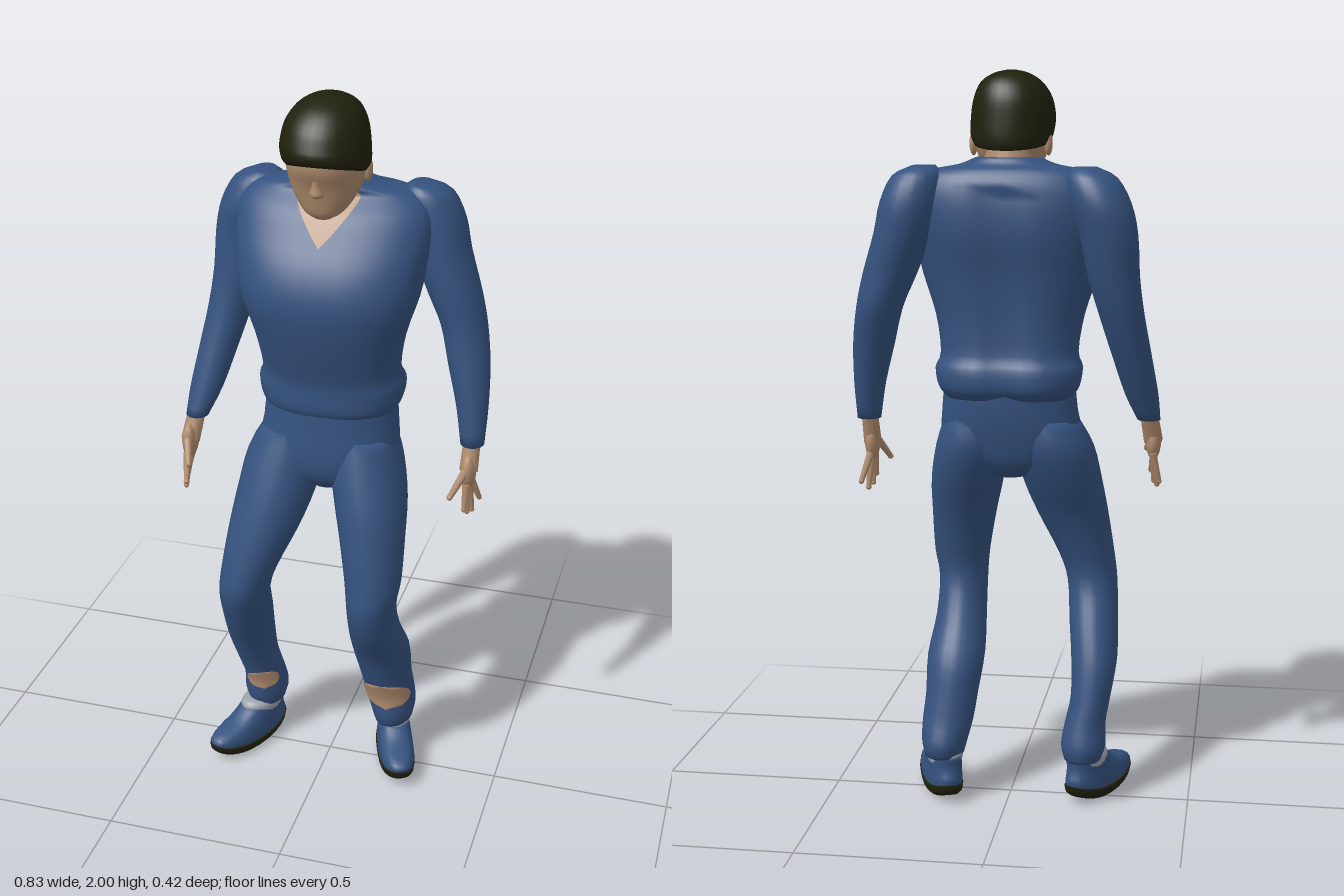
import * as THREE from 'three';

const flat = (name, color, side = THREE.FrontSide) => {
  const m = new THREE.MeshStandardMaterial({ color, side });
  m.name = name;
  return m;
};

// Rings are [x, y, z, halfWidth, halfDepth]; returns a surface sampler (angle 0 = front, t along the rings).
function sampler(list, power = 2) {
  const rings = list[0][1] > list[list.length - 1][1] ? [...list].reverse() : list;
  const mid = new THREE.CatmullRomCurve3(rings.map(r => new THREE.Vector3(r[0], r[1], r[2])), false, 'catmullrom', 0.5);
  const rad = new THREE.CatmullRomCurve3(rings.map(r => new THREE.Vector3(r[3], r[4], 0)), false, 'catmullrom', 0.5);
  const bend = v => Math.sign(v) * Math.pow(Math.abs(v), 2 / power);
  return {
    count: rings.length,
    at(a, t, off = 0) {
      const c = mid.getPoint(t), r = rad.getPoint(t);
      return new THREE.Vector3(c.x + (r.x + off) * bend(Math.sin(a)), c.y, c.z + (r.y + off) * bend(Math.cos(a)));
    },
    centre: t => mid.getPoint(t),
  };
}

function surface(points, cols, rows, wrap, caps = []) {
  const pos = points.flatMap(p => [p.x, p.y, p.z]), idx = [];
  const stride = wrap ? cols : cols + 1;
  for (let j = 0; j < rows; j++) for (let i = 0; i < cols; i++) {
    const k = wrap ? (i + 1) % cols : i + 1;
    const a = j * stride + i, b = j * stride + k, c = a + stride, d = b + stride;
    idx.push(a, b, c, b, d, c);
  }
  caps.forEach((p, end) => {
    const n = pos.length / 3, base = end ? rows * stride : 0;
    pos.push(p.x, p.y, p.z);
    for (let i = 0; i < cols; i++) {
      const a = base + i, b = base + (i + 1) % cols;
      if (end) idx.push(a, b, n); else idx.push(b, a, n);
    }
  });
  const g = new THREE.BufferGeometry();
  g.setAttribute('position', new THREE.Float32BufferAttribute(pos, 3));
  g.setIndex(idx);
  g.computeVertexNormals();
  return g;
}

// Closed loft through all rings, with an optional rule that moves each point.
function loft(s, cols = 24, rule = p => p) {
  const rows = (s.count - 1) * 3, pts = [];
  for (let j = 0; j <= rows; j++) for (let i = 0; i < cols; i++)
    pts.push(rule(s.at(i / cols * Math.PI * 2, j / rows)));
  return surface(pts, cols, rows, true, [rule(s.centre(0)), rule(s.centre(1))]);
}

// Thin skin lying on a loft; angles(f) gives the angle range at each height.
function patch(s, t0, t1, angles, off = 0.004) {
  const pts = [], n = 10;
  for (let j = 0; j <= n; j++) for (let i = 0; i <= n; i++) {
    const [a, b] = angles(j / n);
    pts.push(s.at(a + (b - a) * i / n, t0 + (t1 - t0) * j / n, off));
  }
  return surface(pts, n, n, false);
}

export function createModel() {
  const blue = flat('blue cloth', 0x35527f);
  const skin = flat('skin', 0xb08c6e, THREE.DoubleSide);
  const dark = flat('dark hair and soles', 0x20200d);
  const sock = flat('pale sock', 0x9fa4ad);
  const model = new THREE.Group();
  model.name = 'standingMan';
  const add = (name, geo, mat, parent = model) => {
    const m = new THREE.Mesh(geo, mat);
    m.name = name;
    parent.add(m);
    return m;
  };
  const ball = (name, p, s, mat, parent = model) => {
    const m = add(name, new THREE.SphereGeometry(1, 14, 10), mat, parent);
    m.position.set(...p);
    m.scale.set(...s);
    return m;
  };
  const rod = (name, a, b, r0, r1, mat, parent) => {
    const A = new THREE.Vector3(...a), B = new THREE.Vector3(...b), d = B.clone().sub(A);
    const m = add(name, new THREE.CylinderGeometry(r1, r0, d.length(), 8), mat, parent);
    m.position.copy(A).add(B).multiplyScalar(0.5);
    m.quaternion.setFromUnitVectors(new THREE.Vector3(0, 1, 0), d.normalize());
  };

  // Jacket with gathered hem, broad chest and sloping collar
  const torso = sampler([
    [0, 1.14, -0.025, 0.17, 0.12], [0, 1.17, -0.03, 0.19, 0.14], [0, 1.22, -0.03, 0.198, 0.14],
    [0, 1.26, -0.02, 0.185, 0.135], [0, 1.36, -0.005, 0.2, 0.15], [0, 1.47, 0, 0.235, 0.165],
    [0, 1.56, -0.02, 0.25, 0.163], [0, 1.64, -0.045, 0.26, 0.14], [0, 1.7, -0.06, 0.25, 0.115],
    [0, 1.74, -0.07, 0.21, 0.085], [0, 1.757, -0.055, 0.13, 0.077], [0, 1.775, -0.05, 0.085, 0.07]], 2.4);
  add('jacket', loft(torso, 36, p => {
    // hollow along the spine
    if (p.z < -0.05 && p.y < 1.7) p.z += 0.02 * Math.exp(-((p.x / 0.05) ** 2));
    return p;
  }), blue);
  add('openCollar', patch(torso, 6.8 / 11, 10.4 / 11, f => [-0.55 * f, 0.55 * f]), skin);

  // Hips
  add('hips', loft(sampler([
    [0, 0.92, 0.0, 0.05, 0.06], [-0.005, 0.96, 0.0, 0.13, 0.1], [-0.005, 1.02, -0.005, 0.19, 0.115],
    [0, 1.1, -0.015, 0.185, 0.12], [0, 1.2, -0.02, 0.175, 0.12]], 2.3), 28), blue);

  // Legs, hip to cuff, with bare patches at the shins
  const legs = {
    right: sampler([
      [-0.1, 1.08, -0.01, 0.085, 0.105], [-0.12, 1.0, 0.0, 0.108, 0.122], [-0.14, 0.9, 0.035, 0.108, 0.118],
      [-0.165, 0.8, 0.075, 0.098, 0.102], [-0.2, 0.68, 0.108, 0.078, 0.092], [-0.217, 0.6, 0.112, 0.07, 0.092],
      [-0.225, 0.5, 0.068, 0.068, 0.094], [-0.232, 0.4, 0.02, 0.064, 0.09], [-0.226, 0.3, -0.015, 0.055, 0.08],
      [-0.214, 0.23, -0.035, 0.056, 0.075], [-0.21, 0.17, -0.045, 0.062, 0.08], [-0.208, 0.13, -0.045, 0.052, 0.07]]),
    left: sampler([
      [0.095, 1.08, -0.01, 0.085, 0.105], [0.105, 1.0, 0.0, 0.1, 0.122], [0.125, 0.9, 0.035, 0.1, 0.118],
      [0.14, 0.8, 0.072, 0.09, 0.102], [0.152, 0.68, 0.104, 0.078, 0.09], [0.15, 0.6, 0.11, 0.068, 0.09],
      [0.15, 0.5, 0.07, 0.07, 0.094], [0.155, 0.4, 0.008, 0.08, 0.092], [0.162, 0.3, -0.025, 0.073, 0.084],
      [0.17, 0.23, -0.045, 0.071, 0.08], [0.178, 0.17, -0.055, 0.064, 0.09], [0.18, 0.13, -0.055, 0.055, 0.08]]),
  };
  for (const [side, s] of Object.entries(legs)) add(side + 'Leg', loft(s), blue);
  const oval = (c, w) => f => [c - w * Math.sqrt(f * (1 - f)) * 2, c + w * Math.sqrt(f * (1 - f)) * 2];
  add('leftBareShin', patch(legs.left, 1.5 / 11, 2.9 / 11, oval(0.05, 1.15)), skin);
  add('rightBareShin', patch(legs.right, 1.5 / 11, 2.5 / 11, oval(0.3, 0.85)), skin);

  // Shoes, toes turned out and soles slightly rockered
  const rocker = p => { p.y += 1.5 * p.z * p.z * Math.max(0, 1 - p.y / 0.14); return p; };
  const upper = sampler([
    [0, 0.028, 0, 0.05, 0.14], [0, 0.05, 0, 0.052, 0.143], [0, 0.075, -0.01, 0.05, 0.127],
    [0, 0.1, -0.04, 0.047, 0.093], [0, 0.13, -0.065, 0.044, 0.07]], 2.4);
  const sole = sampler([[0, 0, 0, 0.04, 0.125], [0, 0.012, 0, 0.05, 0.142], [0, 0.034, 0, 0.054, 0.147]], 2.4);
  const ankle = sampler([[0, 0.1, -0.06, 0.045, 0.068], [0, 0.128, -0.06, 0.05, 0.074], [0, 0.145, -0.065, 0.042, 0.066]]);
  for (const [side, x, z, turn] of [['right', -0.245, 0.035, -0.46], ['left', 0.2, 0, 0.36]]) {
    const shoe = new THREE.Group();
    shoe.name = side + 'Shoe';
    shoe.position.set(x, 0, z);
    shoe.rotation.y = turn;
    model.add(shoe);
    add('shoeUpper', loft(upper, 28, rocker), blue, shoe);
    add('shoeSole', loft(sole, 28, rocker), dark, shoe);
    add('sock', loft(ankle), sock, shoe);
  }

  // Sleeves, shoulder to wrist
  add('rightSleeve', loft(sampler([
    [-0.21, 1.752, -0.11, 0.03, 0.04], [-0.225, 1.725, -0.115, 0.068, 0.07], [-0.25, 1.66, -0.12, 0.08, 0.088],
    [-0.272, 1.58, -0.12, 0.076, 0.082], [-0.285, 1.47, -0.105, 0.068, 0.074], [-0.305, 1.37, -0.085, 0.06, 0.067],
    [-0.33, 1.26, -0.05, 0.053, 0.057], [-0.355, 1.15, -0.01, 0.045, 0.045], [-0.374, 1.075, 0.02, 0.031, 0.034]])), blue);
  add('leftSleeve', loft(sampler([
    [0.215, 1.755, -0.1, 0.03, 0.04], [0.23, 1.728, -0.11, 0.068, 0.07], [0.25, 1.66, -0.115, 0.08, 0.085],
    [0.27, 1.58, -0.11, 0.078, 0.085], [0.31, 1.47, -0.1, 0.072, 0.077], [0.34, 1.38, -0.095, 0.062, 0.07],
    [0.362, 1.28, -0.07, 0.056, 0.057], [0.38, 1.17, -0.045, 0.043, 0.045], [0.388, 1.07, -0.025, 0.032, 0.036]])), blue);

  // Hands: palm, four spread fingers and a thumb
  const hand = (name, wrist, palm, tips, thumb) => {
    const g = new THREE.Group();
    g.name = name;
    model.add(g);
    rod('wrist', wrist, palm, 0.024, 0.026, skin, g);
    ball('palm', palm, [0.021, 0.052, 0.036], skin, g);
    const digit = (n, a, b, r) => {
      rod(n, a, b, r, r * 0.65, skin, g);
      ball(n + 'Tip', b, [r * 0.68, r * 0.68, r * 0.68], skin, g);
    };
    tips.forEach((t, i) => digit('finger', [palm[0], palm[1] - 0.03, palm[2] + 0.026 - i * 0.017], t, 0.011));
    digit('thumb', [palm[0], palm[1] + 0.015, palm[2] + 0.02], thumb, 0.012);
  };
  hand('rightHand', [-0.374, 1.09, 0.02], [-0.385, 1.01, 0.055],
    [[-0.375, 0.915, 0.125], [-0.385, 0.89, 0.1], [-0.395, 0.885, 0.075], [-0.402, 0.9, 0.045]], [-0.362, 0.975, 0.135]);
  hand('leftHand', [0.388, 1.09, -0.025], [0.386, 1.0, 0.002],
    [[0.385, 0.9, 0.04], [0.388, 0.88, 0.012], [0.395, 0.872, -0.018], [0.408, 0.895, -0.05]], [0.35, 0.945, 0.065]);

  // Neck, face, nose and ears
  add('neck', loft(sampler([[0, 1.66, -0.045, 0.08, 0.075], [0, 1.74, -0.03, 0.068, 0.068], [0, 1.84, -0.01, 0.066, 0.07]])), skin);
  add('face', loft(sampler([
    [0, 1.695, 0.06, 0.022, 0.022], [0, 1.712, 0.05, 0.05, 0.05], [0, 1.745, 0.035, 0.075, 0.075],
    [0, 1.79, 0.025, 0.094, 0.098], [0, 1.84, 0.025, 0.1, 0.12], [0, 1.9, 0.025, 0.095, 0.11], [0, 1.95, 0.02, 0.06, 0.07]], 2.2), 28), skin);
  add('nose', loft(sampler([[0, 1.762, 0.11, 0.01, 0.012], [0, 1.772, 0.114, 0.019, 0.022], [0, 1.795, 0.115, 0.013, 0.018], [0, 1.84, 0.125, 0.008, 0.012]]), 10), skin);
  for (const s of [-1, 1]) ball('ear', [s * 0.1, 1.81, 0.0], [0.011, 0.032, 0.02], skin);

  // Hair cap, raised at the fringe and low on the nape
  add('hair', loft(sampler([
    [0, 1.815, 0.025, 0.1, 0.125], [0, 1.835, 0.028, 0.11, 0.135], [-0.003, 1.88, 0.028, 0.112, 0.134],
    [-0.003, 1.93, 0.022, 0.103, 0.122], [0, 1.97, 0.015, 0.08, 0.092], [0, 1.992, 0.01, 0.045, 0.052], [0, 2, 0.01, 0.012, 0.015]], 2.1), 32, p => {
    const low = Math.max(0, 1 - (p.y - 1.815) / 0.08);
    p.y += low * (p.z > 0.03 ? 0.3 * (p.z - 0.03) : 0.18 * (p.z - 0.03));
    return p;
  }), dark);

  return model;
}
